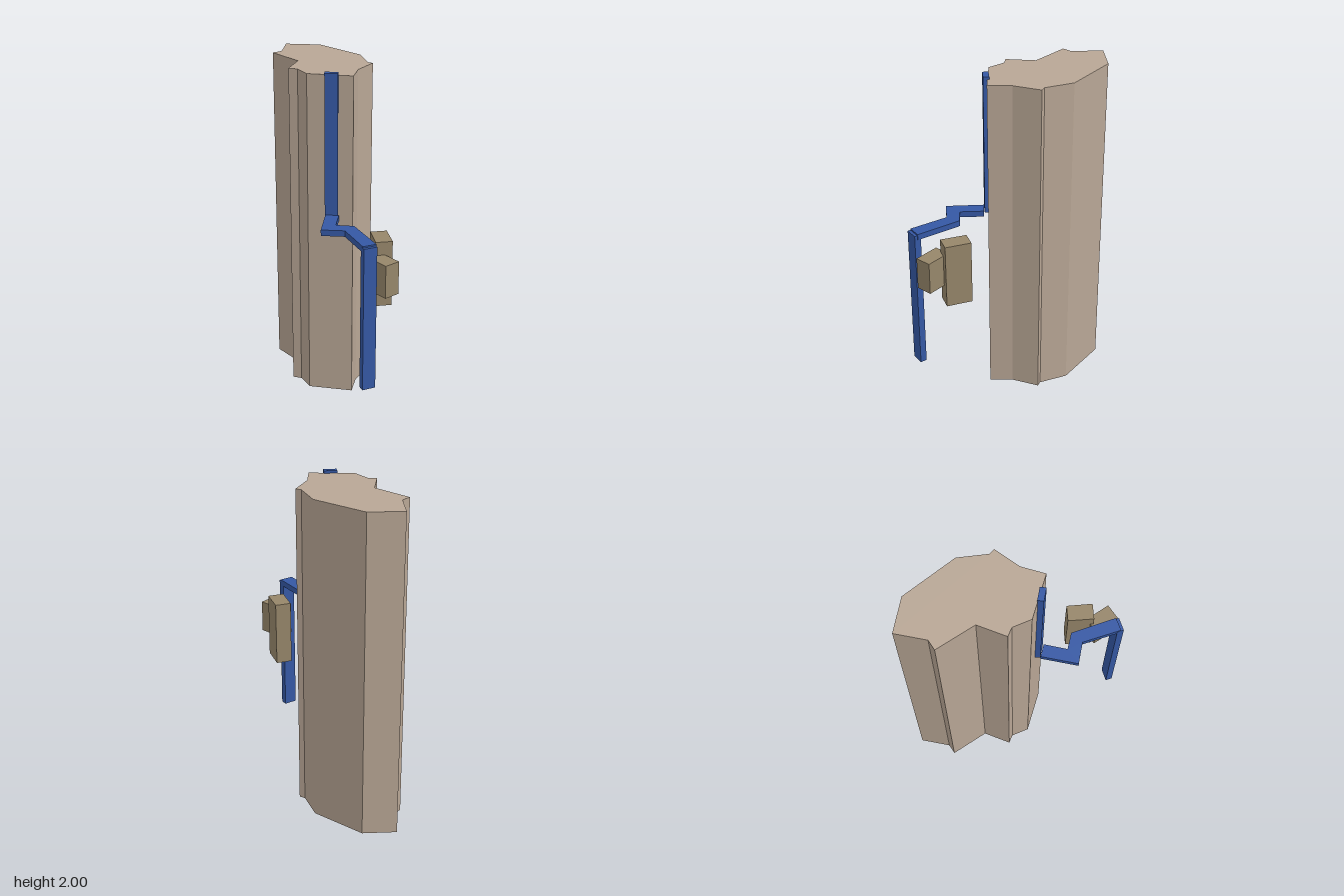
import * as THREE from 'three';

const mat = (color) => new THREE.MeshStandardMaterial({ color, flatShading: true, side: THREE.DoubleSide });

// Upright prism: [x, z] outline raised from y0 to y1
function prism(name, outline, y0, y1, material) {
  const shape = new THREE.Shape(outline.map(([x, z]) => new THREE.Vector2(x, -z)));
  const geo = new THREE.ExtrudeGeometry(shape, { depth: y1 - y0, bevelEnabled: false });
  geo.rotateX(-Math.PI / 2);
  geo.translate(0, y0, 0);
  const mesh = new THREE.Mesh(geo, material);
  mesh.name = name;
  return mesh;
}

export function createModel() {
  const model = new THREE.Group();
  model.name = 'pillarWithStrap';
  const stone = mat(0xb8a695), blue = mat(0x3558a4), tan = mat(0x96866a);

  // Irregular stone pillar
  model.add(prism('pillar', [
    [-0.473, -0.326], [-0.126, -0.326], [0.025, -0.233], [0.06, -0.24], [0.104, -0.078],
    [0.184, 0.037], [-0.032, 0.188], [-0.14, 0.158], [-0.187, 0.184], [-0.274, 0.033],
    [-0.518, 0.011], [-0.512, -0.052], [-0.631, -0.193],
  ], 0, 1.985, stone));

  // Bent strap: upper run, zigzag ledge, lower run
  const strap = new THREE.Group();
  strap.name = 'strap';
  strap.add(prism('upperRun', [
    [0.048, 0.128], [0.106, 0.078], [0.131, 0.103], [0.073, 0.153],
  ], 1.155, 2, blue));
  strap.add(prism('ledge', [
    [0.076, 0.151], [0.138, 0.104], [0.227, 0.213], [0.308, 0.149],
    [0.572, 0.241], [0.545, 0.318], [0.322, 0.235], [0.22, 0.323],
  ], 1.131, 1.167, blue));
  strap.add(prism('lowerRun', [
    [0.523, 0.311], [0.55, 0.238], [0.588, 0.25], [0.561, 0.325],
  ], 0.285, 1.158, blue));
  model.add(strap);

  // Two blocks beside the strap
  model.add(prism('largeBlock', [
    [0.408, -0.012], [0.537, 0.074], [0.483, 0.154], [0.354, 0.066],
  ], 0.73, 1.122, tan));
  model.add(prism('smallBlock', [
    [0.47, 0.106], [0.628, 0.118], [0.621, 0.215], [0.463, 0.203],
  ], 0.847, 1.043, tan));

  return model;
}
